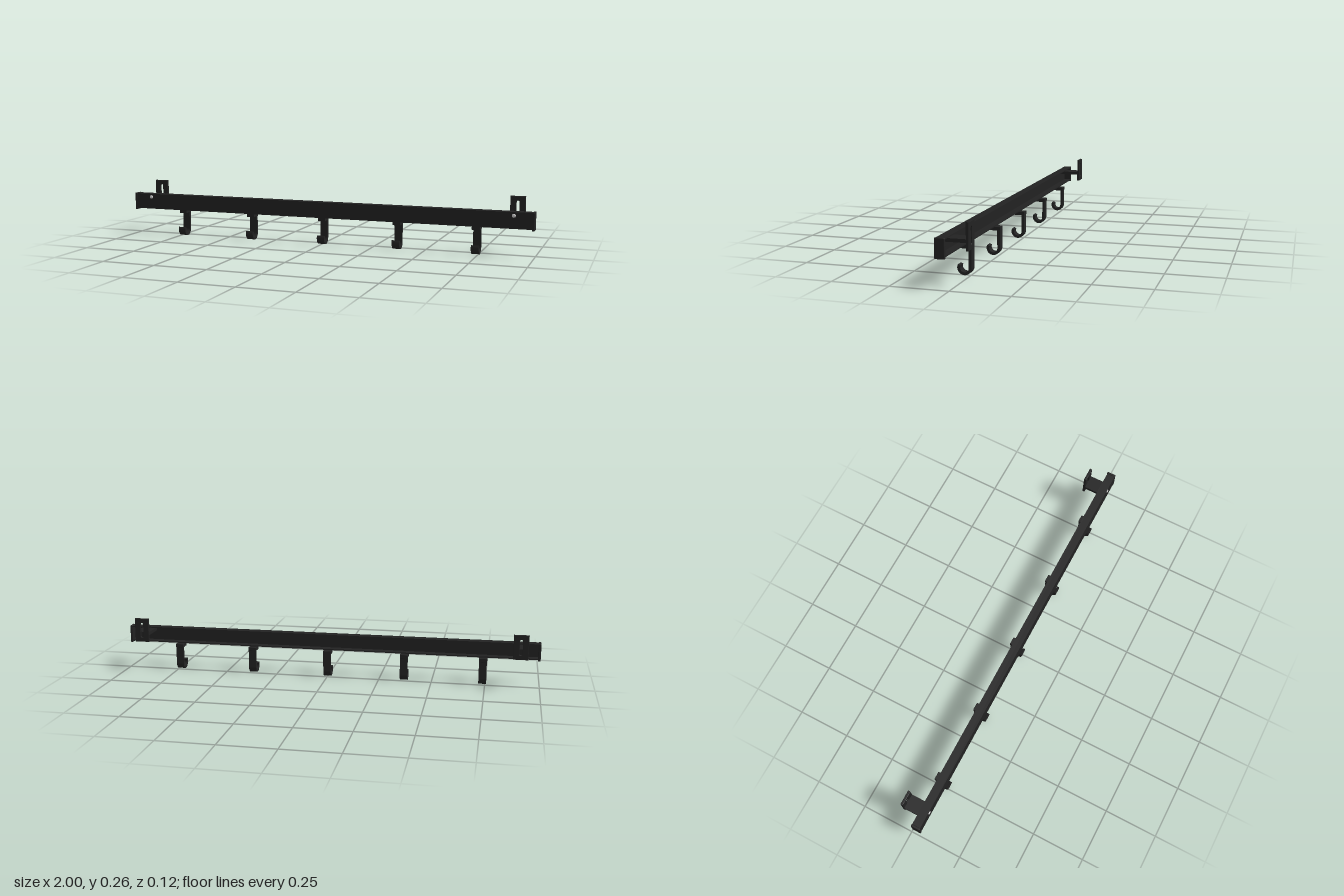
import * as THREE from 'three';
import { RoundedBoxGeometry } from 'three/addons/geometries/RoundedBoxGeometry.js';

const dark = new THREE.MeshStandardMaterial({ color: 0x222222 });
const grey = new THREE.MeshStandardMaterial({ color: 0xcccccc });

function add(parent, name, geometry, x = 0, y = 0, z = 0, material = dark) {
  const mesh = new THREE.Mesh(geometry, material);
  mesh.name = name;
  mesh.position.set(x, y, z);
  parent.add(mesh);
  return mesh;
}

// Extrudes a profile drawn as (z, y) along x, centred on x = 0
function extrudeAlongX(shape, width) {
  const g = new THREE.ExtrudeGeometry(shape, { depth: width, bevelEnabled: false, curveSegments: 20 });
  return g.translate(0, 0, -width / 2).rotateY(-Math.PI / 2);
}

// Channel rail: front web with two flanges, open at the back
function railGeometry() {
  const [back, front, low, high, t] = [0.018, 0.058, 0.13, 0.205, 0.005];
  const shape = new THREE.Shape([
    [back, low], [front, low], [front, high], [back, high],
    [back, high - t], [front - t, high - t], [front - t, low + t], [back, low + t],
  ].map(([z, y]) => new THREE.Vector2(z, y)));
  return extrudeAlongX(shape, 1.98);
}

// Flat strip that drops straight and curls forward
function hookGeometry() {
  const [cz, cy, outer, inner, top, tip] = [0.027, 0.032, 0.031, 0.019, 0.116, 0.44];
  const s = new THREE.Shape();
  s.moveTo(cz - outer, top);
  s.lineTo(cz - outer, cy);
  s.absarc(cz, cy, outer, Math.PI, Math.PI * 2 + tip, false);
  s.absarc(cz, cy, inner, Math.PI * 2 + tip, Math.PI, true);
  s.lineTo(cz - inner, top);
  s.closePath();
  return extrudeAlongX(s, 0.036);
}

// Wall plate with a long rounded mounting slot
function wallPlateGeometry() {
  const w = 0.0325, h = 0.0555, r = 0.009, b = 0.002;
  const s = new THREE.Shape([[-w, -h], [w, -h], [w, h], [-w, h]].map((p) => new THREE.Vector2(...p)));
  const slot = new THREE.Path();
  slot.absarc(0, 0.03, r, 0, Math.PI, false);
  slot.absarc(0, -0.03, r, Math.PI, Math.PI * 2, false);
  slot.closePath();
  s.holes.push(slot);
  return new THREE.ExtrudeGeometry(s, {
    depth: 0.008, bevelThickness: b, bevelSize: b, bevelSegments: 2, curveSegments: 10,
  }).translate(0, 0, -0.004);
}

export function createModel() {
  const model = new THREE.Group();
  model.name = 'hookRail';
  add(model, 'rail', railGeometry());

  // End caps and wall brackets, mirrored
  const plate = wallPlateGeometry();
  const cap = new RoundedBoxGeometry(0.012, 0.084, 0.043, 2, 0.003);
  for (const side of [-1, 1]) {
    add(model, 'endCap', cap, side * 0.994, 0.165, 0.0375);
    const bracket = new THREE.Group();
    bracket.name = 'wallBracket';
    bracket.position.x = side * 0.908;
    add(bracket, 'wallPlate', plate, 0, 0.205, -0.055);
    add(bracket, 'bracketArm', new THREE.BoxGeometry(0.069, 0.015, 0.106), 0, 0.188, 0);
    const screw = new THREE.SphereGeometry(0.009, 20, 8, 0, Math.PI * 2, 0, Math.PI / 2);
    add(bracket, 'screw', screw.scale(1, 0.5, 1).rotateX(Math.PI / 2), 0, 0.189, 0.0575, grey);
    model.add(bracket);
  }

  // Row of five hooks under the rail
  const strip = hookGeometry();
  for (let i = -2; i <= 2; i++) {
    const hook = new THREE.Group();
    hook.name = 'hook';
    hook.position.x = i * 0.369;
    add(hook, 'hookStrip', strip);
    add(hook, 'hookMount', new RoundedBoxGeometry(0.038, 0.017, 0.048, 2, 0.0015), 0, 0.1215, 0.018);
    model.add(hook);
  }
  return model;
}
